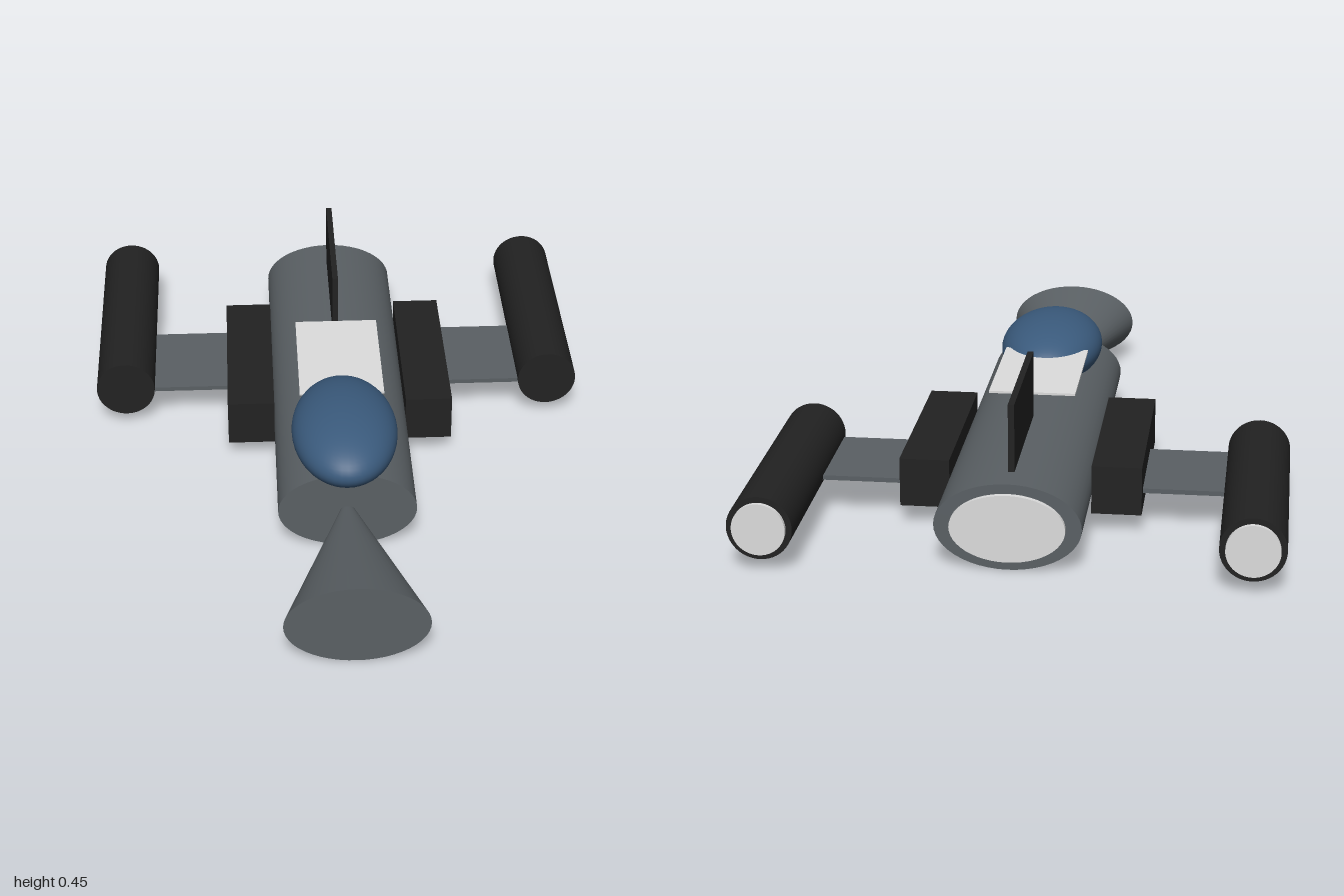
import * as THREE from 'three';

const mat = (name, color) => {
  const m = new THREE.MeshStandardMaterial({ color });
  m.name = name;
  return m;
};

export function createModel() {
  const model = new THREE.Group();
  model.name = 'spacecraft';
  const grey = mat('hull grey', 0x5a6064);
  const black = mat('dark charcoal', 0x222222);
  const white = mat('off white', 0xdddddd);
  const blue = mat('canopy blue', 0x3a5a7c);

  const add = (name, geometry, material, x, y, z) => {
    const mesh = new THREE.Mesh(geometry, material);
    mesh.name = name;
    mesh.position.set(x, y, z);
    model.add(mesh);
    return mesh;
  };
  // box given by its min and max corners
  const box = (name, material, [x0, y0, z0], [x1, y1, z1]) =>
    add(name, new THREE.BoxGeometry(x1 - x0, y1 - y0, z1 - z0), material,
      (x0 + x1) / 2, (y0 + y1) / 2, (z0 + z1) / 2);
  // elliptical tube along z, with radius scale at the front and back ends
  const tube = (name, material, x, y, rx, ry, zBack, zFront, front = 1, back = 1) => {
    const g = new THREE.CylinderGeometry(front, back, zFront - zBack, 48);
    g.rotateX(Math.PI / 2).scale(rx, ry, 1);
    return add(name, g, material, x, y, (zBack + zFront) / 2);
  };

  // fuselage, flared nose cone and rear exhaust
  tube('fuselage', grey, 0, 0.128, 0.208, 0.128, -0.9, 0.462);
  tube('noseCone', grey, 0, 0.128, 0.208, 0.128, 0.4, 1, 1, 0);
  tube('mainExhaust', white, 0, 0.128, 0.163, 0.1, -0.915, -0.88);

  // canopy, floating back panel and tail fin
  const canopy = new THREE.SphereGeometry(1, 48, 32).scale(0.16, 0.1, 0.262);
  add('canopy', canopy, blue, 0, 0.281, 0.265);
  box('backPanel', white, [-0.13, 0.309, -0.305], [0.13, 0.316, 0.113]);
  box('tailFin', black, [-0.009, 0.2, -0.805], [0.009, 0.455, -0.337]);

  // side blocks, wings and engine pods on both sides
  for (const [side, s] of [['left', 1], ['right', -1]]) {
    const sideBox = (name, material, [x0, y0, z0], [x1, y1, z1]) =>
      box(side + name, material,
        [Math.min(s * x0, s * x1), y0, z0], [Math.max(s * x0, s * x1), y1, z1]);
    sideBox('Block', black, [0.207, 0.057, -0.603], [0.353, 0.203, -0.007]);
    sideBox('Wing', grey, [0.34, 0.109, -0.558], [0.62, 0.123, -0.235]);
    tube(side + 'EnginePod', black, s * 0.682, 0.13, 0.093, 0.093, -0.987, -0.218);
    tube(side + 'Exhaust', white, s * 0.682, 0.13, 0.076, 0.076, -1, -0.97);
  }
  return model;
}
